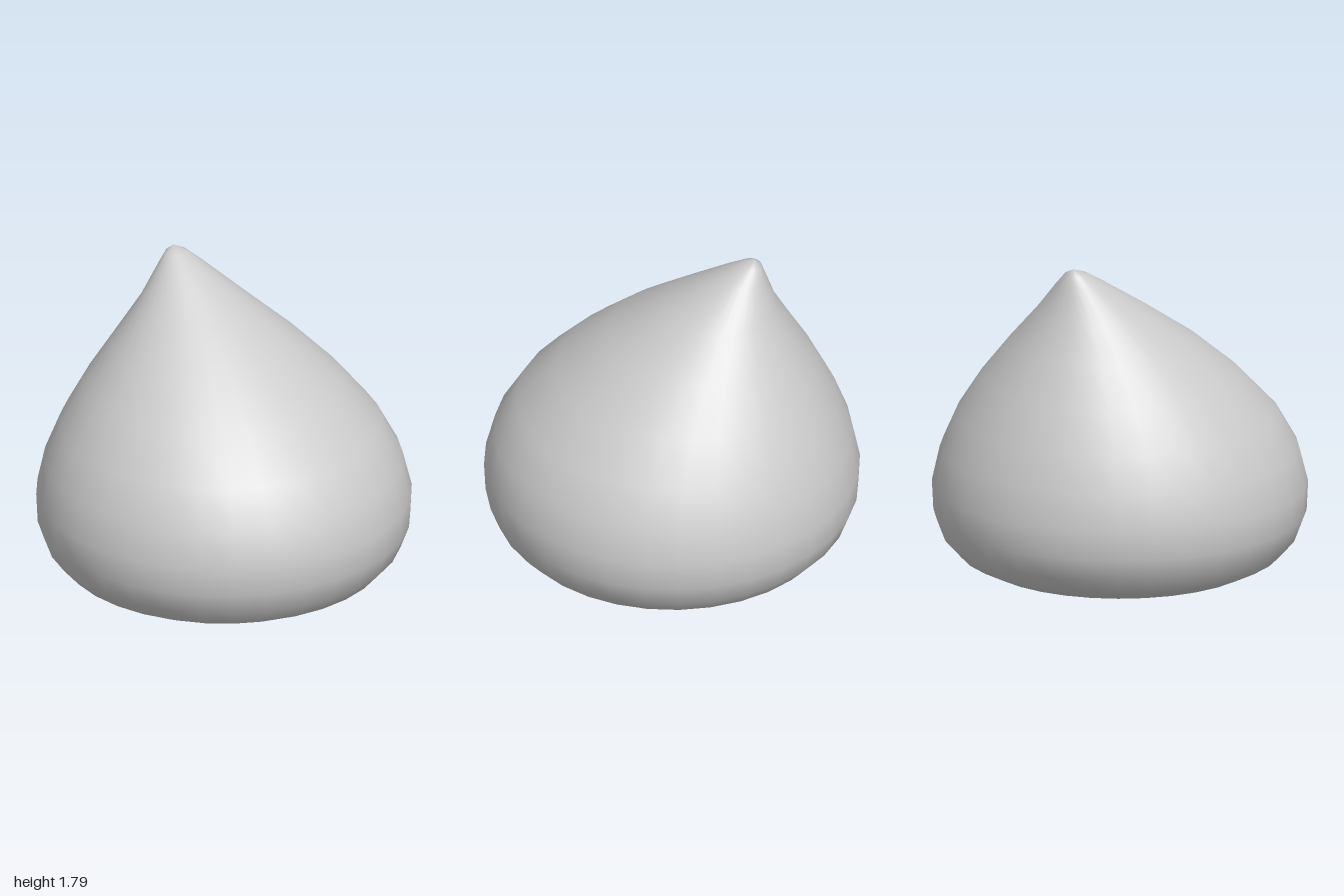
import * as THREE from 'three';
import { mergeVertices } from 'three/addons/utils/BufferGeometryUtils.js';

// Rings from the base to the tip: radius, height, z offset of the ring's centre
const RINGS = [
  [0, 0, 0], [0.2, 0.007, 0], [0.4, 0.018, 0], [0.59, 0.04, 0], [0.74, 0.08, 0],
  [0.86, 0.14, 0], [0.945, 0.235, 0], [0.992, 0.36, 0], [1, 0.52, 0],
  [0.955, 0.71, -0.005], [0.857, 0.91, -0.028], [0.7, 1.12, -0.083],
  [0.503, 1.335, -0.158], [0.3, 1.53, -0.257], [0.135, 1.695, -0.365],
  [0.06, 1.765, -0.415], [0, 1.795, -0.44],
];

export function createModel() {
  const group = new THREE.Group();
  group.name = 'leaningDrop';

  // Turned body, with each ring slid backwards so the tip leans
  let geometry = new THREE.LatheGeometry(RINGS.map(([r, y]) => new THREE.Vector2(r, y)), 32);
  const pos = geometry.attributes.position;
  for (let i = 0; i < pos.count; i++) {
    pos.setZ(i, pos.getZ(i) + RINGS[i % RINGS.length][2]);
  }

  // Weld the seam and poles for continuous smooth shading
  geometry.deleteAttribute('uv');
  geometry.deleteAttribute('normal');
  geometry = mergeVertices(geometry, 1e-4);
  geometry.computeVertexNormals();

  const body = new THREE.Mesh(geometry, new THREE.MeshStandardMaterial({ color: 0xcccccc }));
  body.name = 'dropBody';
  group.add(body);
  return group;
}
